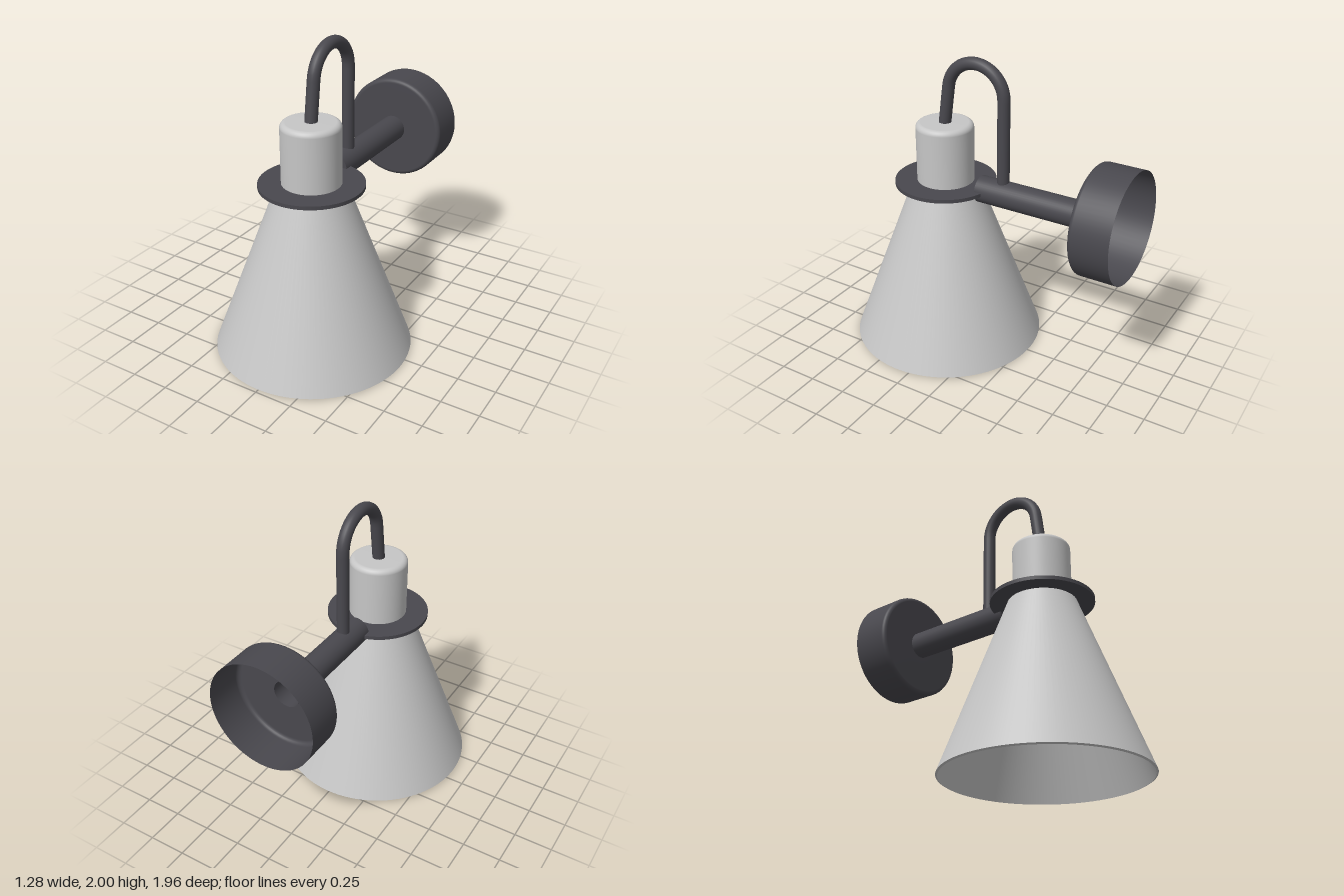
import * as THREE from 'three';

const light = new THREE.MeshStandardMaterial({ color: 0xc6c6c6, side: THREE.DoubleSide });
light.name = 'light grey';
const dark = new THREE.MeshStandardMaterial({ color: 0x49484e, side: THREE.DoubleSide });
dark.name = 'charcoal';

const SHADE_Z = 0.34, ARM_Y = 1.135;

// Profile points [radius, height]; a repeated point makes a sharp edge
function lathe(name, points, material, segments = 64) {
  const geometry = new THREE.LatheGeometry(points.map(([r, y]) => new THREE.Vector2(r, y)), segments);
  const mesh = new THREE.Mesh(geometry, material);
  mesh.name = name;
  return mesh;
}

// Quarter-round points between two angles
function arc(cx, cy, r, from, to, steps = 6) {
  return Array.from({ length: steps + 1 }, (_, i) => {
    const a = from + (to - from) * i / steps;
    return [Math.max(0, cx + r * Math.cos(a)), cy + r * Math.sin(a)];
  });
}

export function createModel() {
  const lamp = new THREE.Group();
  lamp.name = 'wallLamp';

  // Shade, cap, collar and bulb share one vertical axis
  const head = new THREE.Group();
  head.name = 'lampHead';
  head.position.z = SHADE_Z;
  head.add(lathe('shade', [
    [0.206, 1.125], [0.628, 0], [0.628, 0],
    [0.64, 0.007], [0.64, 0.007], [0.218, 1.13],
  ], light, 96));
  head.add(lathe('cap', [
    [0.188, 1.13], ...arc(0.153, 1.505, 0.035, 0, Math.PI / 2), [0, 1.54],
  ], light));
  const collar = new THREE.Mesh(new THREE.CylinderGeometry(0.332, 0.332, 0.024, 64), dark);
  collar.name = 'collar';
  collar.position.y = 1.134;
  head.add(collar);
  const socket = new THREE.Mesh(new THREE.CylinderGeometry(0.11, 0.11, 0.25, 32), dark);
  socket.name = 'socket';
  socket.position.y = 1.0;
  head.add(socket);
  head.add(lathe('bulb', [
    ...arc(0, 0.53, 0.18, -Math.PI / 2, 0.6, 16), [0.1, 0.76], [0.09, 0.88],
  ], light, 32));
  lamp.add(head);

  // Gooseneck: straight riser, half loop, slightly splayed drop into the cap
  const path = new THREE.CurvePath();
  const bend = new THREE.CatmullRomCurve3(
    arc(0.105, 1.76, 0.2, Math.PI, 0.13, 16).map(([, y], i) => {
      const a = Math.PI + (0.13 - Math.PI) * i / 16;
      return new THREE.Vector3(0, y, 0.105 + 0.2 * Math.cos(a));
    }));
  path.add(new THREE.LineCurve3(new THREE.Vector3(0, 1.15, -0.095), bend.getPoint(0)));
  path.add(bend);
  path.add(new THREE.LineCurve3(bend.getPoint(1), new THREE.Vector3(0, 1.5, 0.342)));
  const neck = new THREE.Mesh(new THREE.TubeGeometry(path, 80, 0.04, 20), dark);
  neck.name = 'gooseneck';
  lamp.add(neck);

  // Arm, closed at the front and open into the wall plate
  const arm = lathe('arm', [
    [0.088, -0.72], [0.088, 0.07], [0.088, 0.07], [0, 0.07],
  ], dark, 40);
  arm.rotation.x = Math.PI / 2;
  arm.position.y = ARM_Y;
  lamp.add(arm);

  // Hollow wall plate, open at the back
  const plate = lathe('wallPlate', [
    [0.354, -0.98], ...arc(0.326, -0.743, 0.028, 0, Math.PI / 2), [0.088, -0.715],
  ], dark);
  plate.rotation.x = Math.PI / 2;
  plate.position.y = ARM_Y;
  lamp.add(plate);

  return lamp;
}
